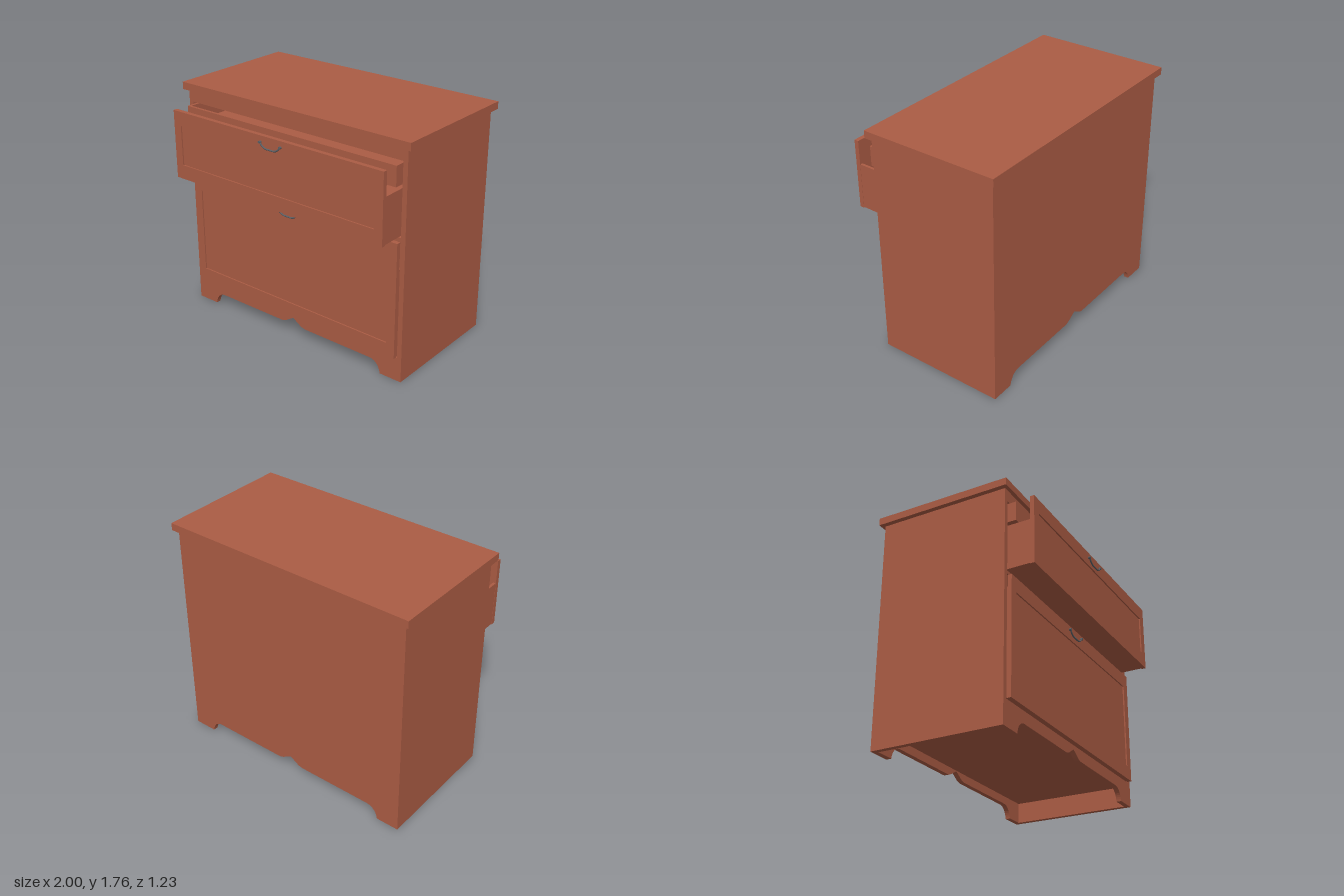
import * as THREE from 'three';

const wood = new THREE.MeshStandardMaterial({ color: 0xab5c44, flatShading: true });
const metal = new THREE.MeshStandardMaterial({ color: 0x5c6065 });

function add(parent, name, geometry, material = wood) {
  const mesh = new THREE.Mesh(geometry, material);
  mesh.name = name;
  parent.add(mesh);
  return mesh;
}

// Box given by its limits on each axis
function slab(parent, name, x0, x1, y0, y1, z0, z1) {
  const mesh = add(parent, name, new THREE.BoxGeometry(x1 - x0, y1 - y0, z1 - z0));
  mesh.position.set((x0 + x1) / 2, (y0 + y1) / 2, (z0 + z1) / 2);
  return mesh;
}

function rect(path, w, y0, y1) {
  return path.moveTo(-w, y0).lineTo(w, y0).lineTo(w, y1).lineTo(-w, y1).closePath();
}

function plate(parent, name, shape, z0, z1) {
  const geo = new THREE.ExtrudeGeometry(shape, { depth: z1 - z0, bevelEnabled: false, curveSegments: 10 });
  geo.translate(0, 0, z0);
  return add(parent, name, geo);
}

// Carcass outline with bracket feet and a pointed scallop in the middle
function carcassShape() {
  const s = new THREE.Shape();
  s.moveTo(-0.965, 0).lineTo(-0.79, 0);
  s.bezierCurveTo(-0.78, 0.055, -0.75, 0.095, -0.695, 0.095);
  s.lineTo(-0.12, 0.095);
  s.bezierCurveTo(-0.07, 0.095, -0.05, 0.125, 0, 0.15);
  s.bezierCurveTo(0.05, 0.125, 0.07, 0.095, 0.12, 0.095);
  s.lineTo(0.695, 0.095);
  s.bezierCurveTo(0.75, 0.095, 0.78, 0.055, 0.79, 0);
  s.lineTo(0.965, 0).lineTo(0.965, 1.705).lineTo(-0.965, 1.705).closePath();
  return s;
}

// Open-topped box: floor, two sides, back, and optionally its own front
function openBox(parent, name, y0, y1, z0, z1, withFront) {
  const g = new THREE.Group();
  g.name = name;
  const w = 0.923, t = 0.02;
  slab(g, name + 'Floor', -w + t, w - t, y0, y0 + t, z0 + t, withFront ? z1 - t : z1);
  for (const s of [-1, 1]) {
    const c = s * (w - t / 2);
    slab(g, name + 'Side', c - t / 2, c + t / 2, y0, y1, z0, z1);
  }
  slab(g, name + 'Back', -w + t, w - t, y0, y1, z0, z0 + t);
  if (withFront) slab(g, name + 'Front', -w + t, w - t, y0, y1, z1 - t, z1);
  parent.add(g);
}

// Bail handle hanging between two small posts
function handle(parent, y, z) {
  const g = new THREE.Group();
  g.name = 'handle';
  const points = [[-0.09, 0], [-0.07, -0.022], [-0.04, -0.037], [0, -0.038], [0.04, -0.037], [0.07, -0.022], [0.09, 0]]
    .map(([x, dy]) => new THREE.Vector3(x, dy, 0.009));
  add(g, 'handleBail', new THREE.TubeGeometry(new THREE.CatmullRomCurve3(points), 28, 0.006, 8), metal);
  for (const s of [-1, 1]) {
    const post = add(g, 'handlePost', new THREE.CylinderGeometry(0.009, 0.009, 0.018, 14), metal);
    post.rotation.x = Math.PI / 2;
    post.position.set(s * 0.09, 0, 0.008);
  }
  g.position.set(0, y, z);
  parent.add(g);
}

// Framed drawer front with a sunken panel, plus the box behind it
function drawer(parent, name, { y0, y1, p0, p1, z, boxTop, back, handleY }) {
  const g = new THREE.Group();
  g.name = name;
  const frame = rect(new THREE.Shape(), 0.925, y0, y1);
  frame.holes.push(rect(new THREE.Path(), 0.86, p0, p1));
  plate(g, 'drawerFrontFrame', frame, z - 0.033, z);
  slab(g, 'drawerPanel', -0.86, 0.86, p0, p1, z - 0.033, z - 0.01);
  openBox(g, 'drawerBox', y0 + 0.005, boxTop, back, z - 0.033, false);
  handle(g, handleY, z);
  parent.add(g);
}

export function createModel() {
  const model = new THREE.Group();
  model.name = 'chestOfDrawers';

  // Carcass
  slab(model, 'top', -1, 1, 1.705, 1.76, -0.615, 0.425);
  const front = carcassShape();
  front.holes.push(rect(new THREE.Path(), 0.929, 0.182, 1.063));
  front.holes.push(rect(new THREE.Path(), 0.929, 1.085, 1.617));
  plate(model, 'frontFrame', front, 0.36, 0.398);
  plate(model, 'backBoard', carcassShape(), -0.585, -0.547);
  for (const s of [-1, 1]) {
    const c = s * 0.947;
    slab(model, 'sidePanel', c - 0.018, c + 0.018, 0, 1.705, -0.547, 0.36);
  }
  slab(model, 'bottomBoard', -0.929, 0.929, 0.155, 0.18, -0.547, 0.36);
  slab(model, 'dividerShelf', -0.929, 0.929, 1.063, 1.085, -0.547, 0.36);

  // Lower drawer closed, upper drawer pulled out
  drawer(model, 'lowerDrawer', { y0: 0.187, y1: 1.053, p0: 0.29, p1: 0.945, z: 0.43, boxTop: 0.85, back: -0.5, handleY: 1.02 });
  drawer(model, 'upperDrawer', { y0: 1.092, y1: 1.607, p0: 1.2, p1: 1.5, z: 0.597, boxTop: 1.43, back: -0.33, handleY: 1.563 });

  // Shallow inner tray above the upper drawer box
  openBox(model, 'innerTray', 1.457, 1.602, -0.47, 0.46, true);

  return model;
}
